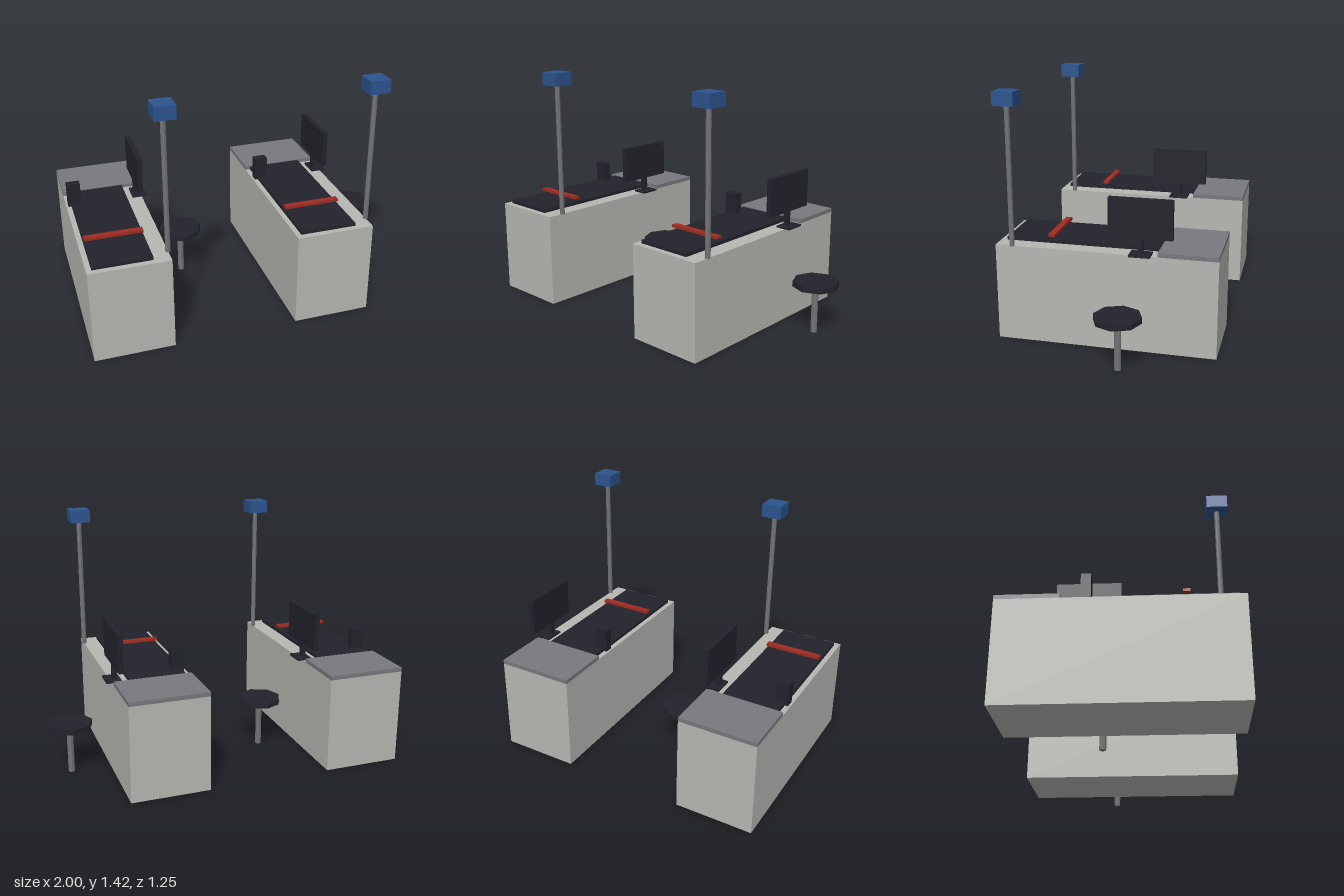
import * as THREE from 'three';

const paint = (name, color) => {
  const m = new THREE.MeshStandardMaterial({ color });
  m.name = name;
  return m;
};

export function createModel() {
  const counterGrey = paint('counterGrey', 0xb6b6b2);
  const steelGrey = paint('steelGrey', 0x78787d);
  const poleGrey = paint('poleGrey', 0x737376);
  const black = paint('black', 0x22222b);
  const red = paint('red', 0x9e2c22);
  const blue = paint('blue', 0x2b538d);

  // Box given by its low and high limits on each axis
  const box = (parent, name, mat, [x0, x1], [y0, y1], [z0, z1]) => {
    const mesh = new THREE.Mesh(new THREE.BoxGeometry(x1 - x0, y1 - y0, z1 - z0), mat);
    mesh.position.set((x0 + x1) / 2, (y0 + y1) / 2, (z0 + z1) / 2);
    mesh.name = name;
    parent.add(mesh);
  };

  // Upright eight-sided rod or disc
  const rod = (parent, name, mat, r, x, [y0, y1], z) => {
    const geo = new THREE.CylinderGeometry(r, r, y1 - y0, 8).toNonIndexed();
    geo.computeVertexNormals();
    const mesh = new THREE.Mesh(geo, mat);
    mesh.position.set(x, (y0 + y1) / 2, z);
    mesh.name = name;
    parent.add(mesh);
  };

  const makeLane = (name, x) => {
    const lane = new THREE.Group();
    lane.name = name;
    lane.position.x = x;

    // Counter with conveyor, bagging plate and divider bar
    box(lane, 'counter', counterGrey, [-1, -0.543], [0, 0.56], [-0.625, 0.625]);
    box(lane, 'conveyorBelt', black, [-0.97, -0.638], [0.56, 0.579], [-0.295, 0.59]);
    box(lane, 'baggingPlate', steelGrey, [-1, -0.543], [0.56, 0.584], [-0.625, -0.295]);
    box(lane, 'dividerBar', red, [-0.97, -0.638], [0.595, 0.611], [0.31, 0.347]);
    box(lane, 'cardReader', black, [-0.988, -0.91], [0.56, 0.7], [-0.195, -0.143]);

    // Monitor facing the cashier
    const monitor = new THREE.Group();
    monitor.name = 'monitor';
    box(monitor, 'monitorBase', black, [-0.6, -0.512], [0.56, 0.571], [-0.258, -0.14]);
    box(monitor, 'monitorNeck', black, [-0.585, -0.556], [0.571, 0.66], [-0.209, -0.183]);
    box(monitor, 'screen', black, [-0.585, -0.556], [0.652, 0.873], [-0.374, -0.019]);
    lane.add(monitor);

    // Lane light on its pole
    rod(lane, 'lightPole', poleGrey, 0.015, -0.544, [0.56, 1.35], 0.527);
    box(lane, 'laneLight', blue, [-0.603, -0.485], [1.348, 1.424], [0.468, 0.586]);

    // Cashier stool
    rod(lane, 'stoolLeg', poleGrey, 0.019, -0.313, [0, 0.28], -0.132);
    rod(lane, 'stoolSeat', black, 0.132, -0.313, [0.279, 0.309], -0.132);
    return lane;
  };

  const model = new THREE.Group();
  model.name = 'checkoutLanes';
  model.add(makeLane('rightLane', 0), makeLane('leftLane', 1.18));
  return model;
}
